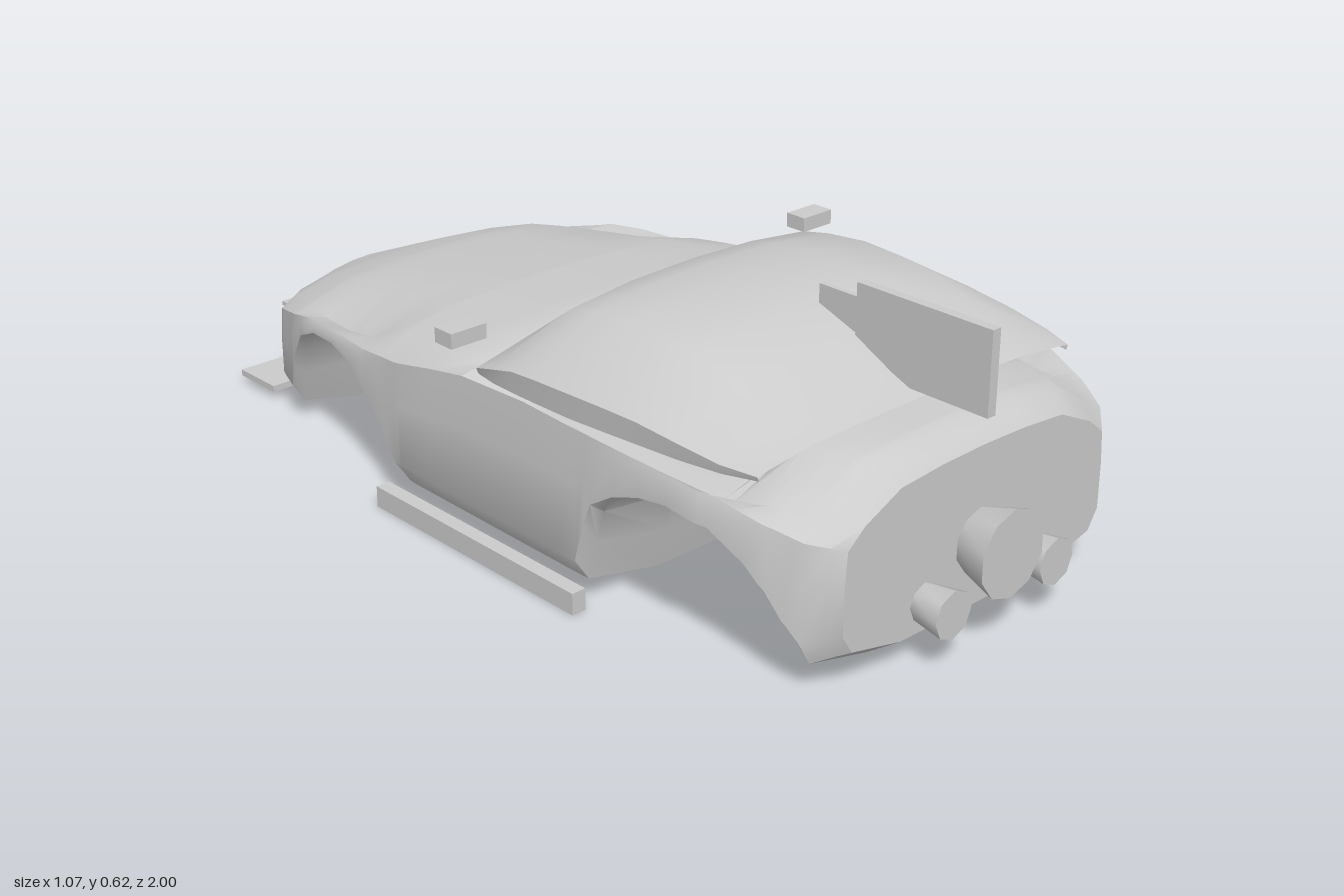
import * as THREE from 'three';
import { toCreasedNormals } from 'three/addons/utils/BufferGeometryUtils.js';

const grey = new THREE.MeshStandardMaterial({ color: 0xcccccc });
const greyThin = new THREE.MeshStandardMaterial({ color: 0xcccccc, side: THREE.DoubleSide });

// Piecewise-linear profile: points are [z, value] in ascending z
function at(points, z) {
  if (z <= points[0][0]) return points[0][1];
  for (let i = 1; i < points.length; i++) {
    const [z0, v0] = points[i - 1], [z1, v1] = points[i];
    if (z <= z1) return v0 + (v1 - v0) * (z - z0) / (z1 - z0);
  }
  return points[points.length - 1][1];
}

// Skins a row of cross-sections; closed sections can be capped at both ends
function loft(sections, closed, crease) {
  const n = sections[0].length, pos = sections.flat(2), idx = [];
  const last = closed ? n : n - 1;
  for (let i = 0; i < sections.length - 1; i++) {
    for (let j = 0; j < last; j++) {
      const k = (j + 1) % n, a = i * n + j, b = i * n + k;
      idx.push(a, b, a + n, b, b + n, a + n);
    }
  }
  if (closed) {
    for (const i of [0, sections.length - 1]) {
      const c = pos.length / 3, s = sections[i];
      pos.push(0, (s[0][1] + s[n / 2][1]) / 2, s[0][2]);
      for (let j = 0; j < n; j++) {
        const a = i * n + j, b = i * n + (j + 1) % n;
        idx.push(...(i ? [c, a, b] : [c, b, a]));
      }
    }
  }
  const g = new THREE.BufferGeometry();
  g.setAttribute('position', new THREE.Float32BufferAttribute(pos, 3));
  g.setIndex(idx);
  return toCreasedNormals(g, crease);
}

// Body profiles along z (nose at -z)
const bottom = [[-0.98, 0.1], [-0.85, 0.04], [-0.8, 0.02], [-0.73, 0.015], [-0.71, 0.08], [-0.68, 0.19],
  [-0.63, 0.25], [-0.56, 0.28], [-0.48, 0.285], [-0.4, 0.265], [-0.33, 0.21], [-0.28, 0.12], [-0.26, 0.06], [-0.22, 0.02],
  [0.355, 0.02], [0.38, 0.11], [0.4, 0.2], [0.46, 0.27], [0.53, 0.3], [0.6, 0.31], [0.7, 0.3], [0.77, 0.25],
  [0.81, 0.18], [0.84, 0.09], [0.87, 0.03], [0.92, 0.06]];
const top = [[-0.98, 0.24], [-0.8, 0.31], [-0.68, 0.345], [-0.45, 0.38], [-0.27, 0.405], [0.01, 0.425],
  [0.12, 0.38], [0.68, 0.38], [0.75, 0.435], [0.85, 0.43], [0.9, 0.41], [0.92, 0.39]];
const shoulder = [[-0.98, 0.2], [-0.85, 0.235], [-0.7, 0.28], [-0.6, 0.31], [-0.5, 0.32], [-0.35, 0.32],
  [-0.22, 0.335], [-0.1, 0.36], [0.01, 0.38], [0.2, 0.388], [0.7, 0.37], [0.82, 0.335], [0.92, 0.3]];
const gutter = [[-0.98, 0.215], [-0.8, 0.275], [-0.68, 0.3], [-0.6, 0.295], [-0.5, 0.297], [-0.4, 0.315],
  [-0.3, 0.36], [0, 0.395], [0.1, 0.335], [0.7, 0.335], [0.78, 0.352], [0.92, 0.335]];
const halfWidth = [[-0.98, 0.17], [-0.93, 0.24], [-0.88, 0.31], [-0.82, 0.37], [-0.7, 0.42], [-0.6, 0.452],
  [-0.35, 0.482], [-0.2, 0.5], [0.3, 0.505], [0.67, 0.5], [0.8, 0.465], [0.87, 0.43], [0.92, 0.37]];

function bodySection(z) {
  const b = at(bottom, z), t = at(top, z), s = at(shoulder, z), w = at(halfWidth, z);
  const k = THREE.MathUtils.clamp((s - b - 0.08) / 0.2, 0.08, 1);
  const half = [[0.57 * w, b], [0.93 * w, b + 0.038 * k], [w, b + 0.09 * k], [w, s - (s - b) * 0.3],
    [0.985 * w, s], [0.87 * w, at(gutter, z)], [0.62 * w, t - 0.012], [0.32 * w, t - 0.003]];
  const right = half.map(([x, y]) => [x, y, z]);
  const left = half.map(([x, y]) => [-x, y, z]).reverse();
  return [[0, b, z], ...right, [0, t, z], ...left];
}

// Cabin shell profiles
const roofTop = [[0.02, 0.423], [0.08, 0.482], [0.15, 0.54], [0.22, 0.555], [0.32, 0.565], [0.42, 0.56],
  [0.5, 0.55], [0.6, 0.515], [0.7, 0.465], [0.77, 0.437]];
const roofEdge = [[0.02, 0.378], [0.4, 0.39], [0.77, 0.405]];
const roofWidth = [[0.02, 0.465], [0.1, 0.48], [0.3, 0.488], [0.6, 0.475], [0.72, 0.46], [0.77, 0.44]];

function cabinSection(z) {
  const t = at(roofTop, z), e = at(roofEdge, z), w = at(roofWidth, z);
  const half = [[0.99, 0], [1, 0.3], [0.94, 0.43], [0.68, 0.86], [0.35, 0.97]];
  const right = half.map(([x, y]) => [x * w, e + (t - e) * y, z]);
  const left = right.map(([x, y]) => [-x, y, z]).reverse();
  return [...right, [0, t, z], ...left];
}

export function createModel() {
  const car = new THREE.Group();
  car.name = 'car';
  const add = (name, geometry, material = grey) => {
    const mesh = new THREE.Mesh(geometry, material);
    mesh.name = name;
    car.add(mesh);
    return mesh;
  };
  // Box given by its limits on each axis
  const box = (name, [x0, x1], [y0, y1], [z0, z1]) =>
    add(name, new THREE.BoxGeometry(x1 - x0, y1 - y0, z1 - z0))
      .position.set((x0 + x1) / 2, (y0 + y1) / 2, (z0 + z1) / 2);

  // Body with wheel arches cut through the full width
  const knots = [bottom, top, shoulder, halfWidth].flat().map(p => p[0]).sort((a, b) => a - b);
  const stations = knots.filter((z, i) => i === 0 || z - knots[i - 1] > 0.001);
  add('body', loft(stations.map(bodySection), true, 0.6));

  // Cabin roof and screens
  add('cabin', loft(roofTop.map(p => cabinSection(p[0])), false, 0.6), greyThin);

  // Rear fin on the centre line
  box('fin', [-0.011, 0.011], [0.447, 0.62], [0.605, 0.93]);
  box('finTip', [-0.006, 0.006], [0.5, 0.588], [0.505, 0.605]);

  // Flared exhaust nozzles
  const nozzle = (name, x, y, r0, r1, z1, sides) => {
    const g = new THREE.CylinderGeometry(r1, r0, z1 - 0.9, sides);
    g.rotateX(Math.PI / 2);
    add(name, toCreasedNormals(g, 0.9)).position.set(x, y, (0.9 + z1) / 2);
  };
  nozzle('mainNozzle', 0, 0.195, 0.06, 0.092, 1, 10);

  // Front splitter
  box('splitter', [-0.372, 0.372], [0.021, 0.036], [-1, -0.867]);

  for (const s of [1, -1]) {
    const side = s > 0 ? 'left' : 'right';
    const span = (a, b) => (s > 0 ? [a, b] : [-b, -a]);
    nozzle(side + 'Nozzle', s * 0.15, 0.12, 0.036, 0.05, 0.99, 8);
    box(side + 'Mirror', span(0.45, 0.537), [0.456, 0.488], [-0.015, 0.037]);
    box(side + 'Skirt', span(0.49, 0.523), [0.003, 0.05], [-0.257, 0.368]);

    // Small winglet on the nose
    const shape = new THREE.Shape([[0.15, 0.93], [0.292, 0.93], [0.292, 0.85], [0.2, 0.9]]
      .map(([x, y]) => new THREE.Vector2(s * x, y)));
    const g = new THREE.ExtrudeGeometry(shape, { depth: 0.01, bevelEnabled: false });
    g.rotateX(-Math.PI / 2);
    add(side + 'Winglet', g).position.y = 0.2;
  }
  return car;
}
